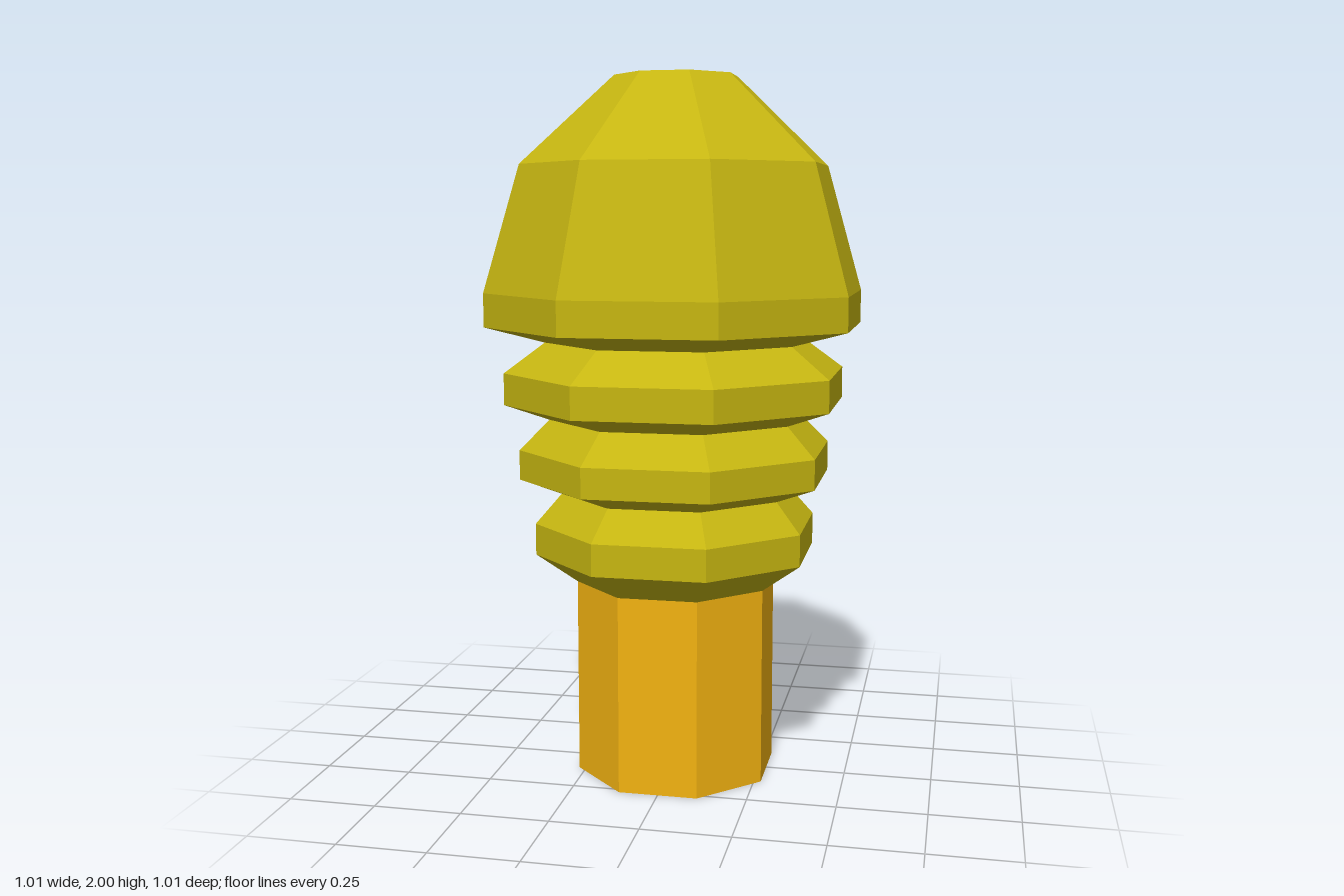
import * as THREE from 'three';

const SIDES = 8;

// Eight-sided turned shell; profile is [half-width across flats, height], bottom to top
function turned(name, profile, color) {
  const k = 1 / Math.cos(Math.PI / SIDES);
  const points = profile.map(([a, y]) => new THREE.Vector2(a * k, y));
  const geometry = new THREE.LatheGeometry(points, SIDES, Math.PI / SIDES);
  const material = new THREE.MeshStandardMaterial({ color, flatShading: true, side: THREE.DoubleSide });
  const mesh = new THREE.Mesh(geometry, material);
  mesh.name = name;
  return mesh;
}

export function createModel() {
  const group = new THREE.Group();
  group.name = 'ribbedBulb';

  // Hollow stem, open at the bottom
  group.add(turned('stem', [[0.27, 0], [0.27, 0.565]], 0xf2b211));

  // Three ribs, each wider than the one below: [rib half-width, bottom, top of rim, neck half-width, neck height]
  const ribs = [
    [0.38, 0.65, 0.74, 0.31, 0.825],
    [0.42, 0.87, 0.955, 0.34, 1.04],
    [0.458, 1.085, 1.175, 0.35, 1.26],
  ];
  let start = [0.27, 0.565];
  ribs.forEach(([w, y0, y1, neck, yNeck], i) => {
    group.add(turned(`rib${i + 1}`, [start, [w, y0], [w, y1], [neck, yNeck]], 0xc6b611));
    start = [neck, yNeck];
  });

  // Faceted dome with a flat top
  group.add(turned('dome', [start, [0.507, 1.305], [0.507, 1.4], [0.41, 1.755], [0.163, 2], [0, 2]], 0xc6b611));

  return group;
}
